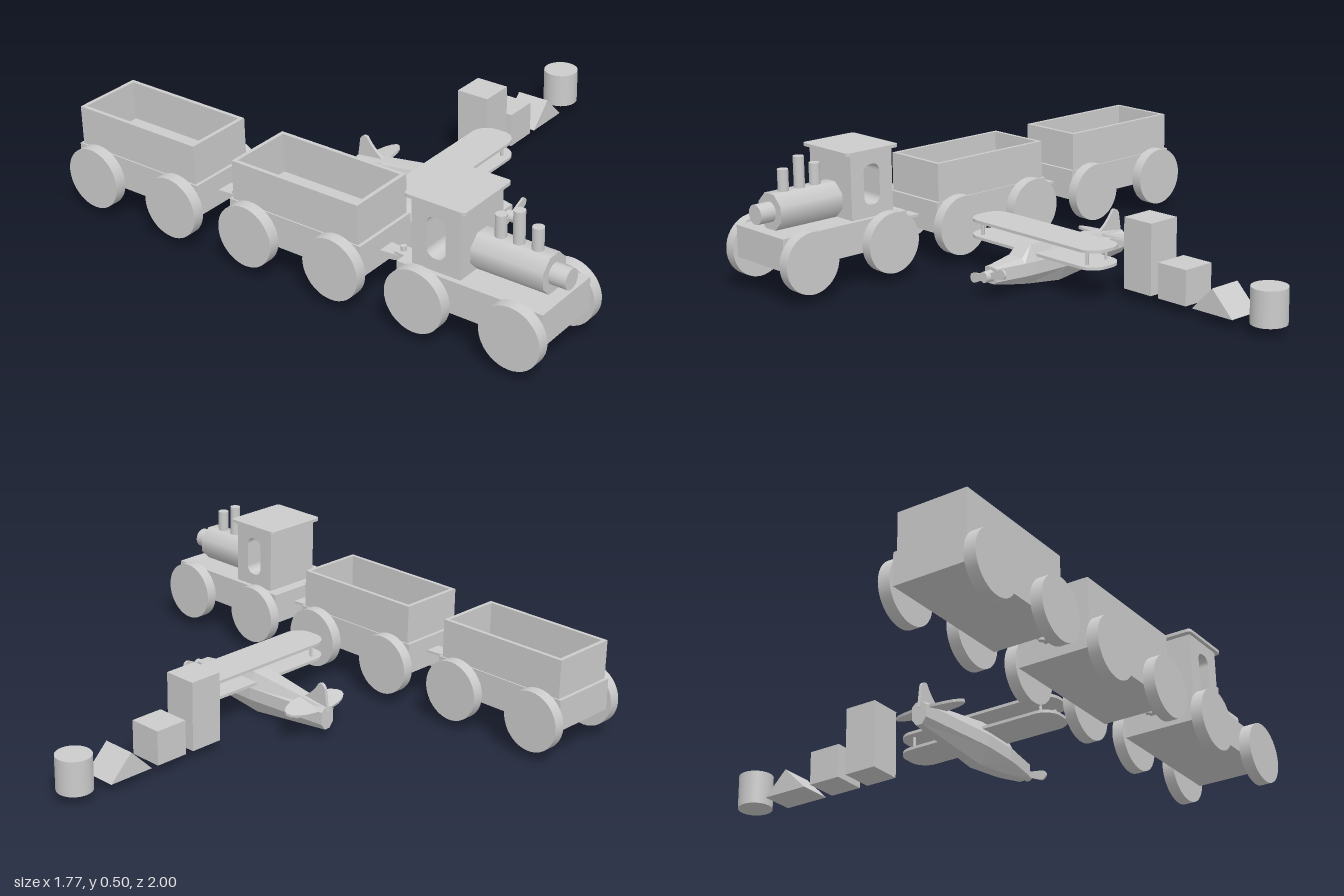
import * as THREE from 'three';

const grey = new THREE.MeshStandardMaterial({ color: 0xcccccc, side: THREE.DoubleSide });

function add(parent, name, geometry, x = 0, y = 0, z = 0) {
  const mesh = new THREE.Mesh(geometry, grey);
  mesh.name = name;
  mesh.position.set(x, y, z);
  parent.add(mesh);
  return mesh;
}

function group(parent, name, x = 0, y = 0, z = 0) {
  const g = new THREE.Group();
  g.name = name;
  g.position.set(x, y, z);
  parent.add(g);
  return g;
}

const box = (w, h, d) => new THREE.BoxGeometry(w, h, d);
const extrude = (shape, depth) =>
  new THREE.ExtrudeGeometry(shape, { depth, bevelEnabled: false, curveSegments: 10 });

// Centred rectangle with rounded corners
function roundedRect(w, h, r, path = new THREE.Shape()) {
  const x = w / 2, y = h / 2;
  path.absarc(x - r, y - r, r, 0, Math.PI / 2);
  path.absarc(r - x, y - r, r, Math.PI / 2, Math.PI);
  path.absarc(r - x, r - y, r, Math.PI, Math.PI * 1.5);
  path.absarc(x - r, r - y, r, Math.PI * 1.5, Math.PI * 2);
  path.closePath();
  return path;
}

function rect(w, h, Type = THREE.Shape) {
  const s = new Type();
  s.moveTo(-w / 2, -h / 2);
  s.lineTo(w / 2, -h / 2);
  s.lineTo(w / 2, h / 2);
  s.lineTo(-w / 2, h / 2);
  s.closePath();
  return s;
}

// Chassis slab with four wheels, shared by locomotive and wagons
function addChassis(parent) {
  add(parent, 'chassis', box(0.276, 0.12, 0.555), 0, 0.187, 0);
  const wheel = new THREE.CylinderGeometry(0.114, 0.114, 0.044, 40).rotateZ(Math.PI / 2);
  for (const x of [-0.16, 0.16])
    for (const z of [-0.183, 0.183]) add(parent, 'wheel', wheel, x, 0.15, z);
}

function addLocomotive(parent) {
  const loco = group(parent, 'locomotive', 0, 0, 0.702);
  addChassis(loco);
  // Cab with a window cut right through from side to side
  const side = rect(0.188, 0.243);
  side.holes.push(roundedRect(0.072, 0.15, 0.03, new THREE.Path()));
  add(loco, 'cab', extrude(side, 0.238).rotateY(Math.PI / 2), -0.119, 0.368, -0.136);
  add(loco, 'roof', extrude(roundedRect(0.265, 0.235, 0.015), 0.012).rotateX(-Math.PI / 2), 0, 0.489, -0.136);
  // Octagonal boiler and round nose
  const boiler = new THREE.CylinderGeometry(0.071, 0.071, 0.28, 8).rotateY(Math.PI / 8).rotateX(Math.PI / 2);
  add(loco, 'boiler', boiler, 0, 0.312, 0.089);
  add(loco, 'boilerNose', new THREE.CylinderGeometry(0.037, 0.037, 0.07, 16).rotateX(Math.PI / 2), 0, 0.312, 0.257);
  // Funnels
  for (const [z, top] of [[0.167, 0.457], [0.097, 0.493], [0.029, 0.457]]) {
    const h = top - 0.33;
    add(loco, 'funnel', new THREE.CylinderGeometry(0.02, 0.02, h, 20), 0, 0.33 + h / 2, z);
  }
}

function addWagon(parent, z) {
  const wagon = group(parent, 'wagon', 0, 0, z);
  addChassis(wagon);
  const walls = rect(0.265, 0.53);
  walls.holes.push(rect(0.235, 0.5, THREE.Path));
  add(wagon, 'wagonWalls', extrude(walls, 0.146).rotateX(-Math.PI / 2), 0, 0.247, 0);
}

// Two overlapping tapered plates joined by a pin
function addCoupling(parent, z) {
  const coupling = group(parent, 'coupling', 0, 0.185, z);
  const plate = new THREE.Shape();
  plate.moveTo(-0.033, -0.085);
  plate.lineTo(0.033, -0.085);
  plate.lineTo(0.024, 0.02);
  plate.lineTo(-0.024, 0.02);
  plate.closePath();
  const geo = extrude(plate, 0.01).rotateX(-Math.PI / 2);
  add(coupling, 'frontPlate', geo, 0, 0, 0);
  add(coupling, 'rearPlate', geo, 0, -0.01, 0).rotation.y = Math.PI;
  add(coupling, 'couplingPin', new THREE.CylinderGeometry(0.011, 0.011, 0.054, 12));
}

// Faceted hull: each section is z, top half width, top y, side half width, low half width, low y
function fuselageGeometry() {
  const sections = [
    [0.39, 0.018, 0.112, 0.03, 0.016, 0.05],
    [0.27, 0.034, 0.126, 0.05, 0.022, 0.026],
    [0.225, 0.032, 0.168, 0.055, 0.022, 0.019],
    [0.075, 0.034, 0.163, 0.06, 0.022, 0],
    [-0.265, 0.014, 0.122, 0.03, 0.012, 0.036],
  ];
  const pos = [], idx = [], n = 8;
  for (const [z, tw, ty, sw, bw, by] of sections) {
    const ring = [[sw, 0.06], [sw, 0.108], [tw, ty], [-tw, ty], [-sw, 0.108], [-sw, 0.06], [-bw, by], [bw, by]];
    for (const [x, y] of ring) pos.push(x, y, z);
  }
  const last = (sections.length - 1) * n;
  for (let i = 0; i < last; i += n)
    for (let j = 0; j < n; j++) {
      const k = (j + 1) % n;
      idx.push(i + j, i + n + j, i + n + k, i + j, i + n + k, i + k);
    }
  for (let j = 1; j < n - 1; j++) idx.push(0, j, j + 1, last, last + j + 1, last + j);
  const geo = new THREE.BufferGeometry();
  geo.setAttribute('position', new THREE.Float32BufferAttribute(pos, 3));
  geo.setIndex(idx);
  const flat = geo.toNonIndexed();
  flat.computeVertexNormals();
  return flat;
}

function addBiplane(parent) {
  const plane = group(parent, 'biplane', -0.144, 0, 0);
  add(plane, 'fuselage', fuselageGeometry());
  // Wings and struts
  const wing = extrude(roundedRect(0.67, 0.16, 0.065), 0.011).rotateX(-Math.PI / 2);
  add(plane, 'upperWing', wing, 0, 0.185, 0.132);
  add(plane, 'lowerWing', wing, 0, 0.123, 0.132);
  for (const x of [-0.274, 0.274])
    for (const z of [0.085, 0.18])
      add(plane, 'strut', new THREE.CylinderGeometry(0.006, 0.006, 0.06, 10), x, 0.159, z);
  // Tail
  const oval = new THREE.Shape();
  oval.absellipse(0, 0, 0.143, 0.055, 0, Math.PI * 2);
  const tail = extrude(oval, 0.01).rotateX(-Math.PI / 2);
  add(plane, 'tailplane', tail, 0, 0.111, -0.197).rotation.x = -0.22;
  const fin = new THREE.Shape();
  fin.moveTo(0.13, 0.12);
  fin.quadraticCurveTo(0.19, 0.15, 0.225, 0.205);
  fin.quadraticCurveTo(0.245, 0.212, 0.255, 0.19);
  fin.lineTo(0.268, 0.1);
  fin.closePath();
  add(plane, 'tailFin', extrude(fin, 0.012).rotateY(Math.PI / 2), -0.006, 0, 0);
  // Propeller
  const prop = group(plane, 'propeller', 0, 0.08, 0.403);
  add(prop, 'propellerHub', new THREE.CylinderGeometry(0.02, 0.022, 0.045, 16).rotateX(Math.PI / 2));
  const blade = new THREE.Shape();
  blade.moveTo(0, -0.008);
  blade.lineTo(0.075, -0.018);
  blade.absarc(0.077, 0, 0.018, -Math.PI / 2, Math.PI / 2);
  blade.lineTo(0, 0.008);
  blade.closePath();
  for (const turn of [0, Math.PI])
    add(prop, 'propellerBlade', extrude(blade, 0.008), 0, 0, -0.004).rotation.z = 0.28 + turn;
}

function addBlocks(parent) {
  const blocks = group(parent, 'toyBlocks', 0, 0.036, 0);
  add(blocks, 'tallBlock', box(0.131, 0.264, 0.131), 0.266, 0.132, 0);
  add(blocks, 'cubeBlock', box(0.131, 0.131, 0.131), 0.431, 0.0655, 0);
  const wedge = new THREE.Shape();
  wedge.moveTo(-0.092, 0);
  wedge.lineTo(0.092, 0);
  wedge.lineTo(0, 0.092);
  wedge.closePath();
  add(blocks, 'wedgeBlock', extrude(wedge, 0.131), 0.617, 0, -0.0655);
  add(blocks, 'cylinderBlock', new THREE.CylinderGeometry(0.066, 0.066, 0.131, 32), 0.816, 0.0655, 0);
}

export function createModel() {
  const model = new THREE.Group();
  model.name = 'toySet';
  const train = group(model, 'train', -0.702, 0, 0);
  addLocomotive(train);
  for (const z of [0, -0.702]) addWagon(train, z);
  for (const z of [0.351, -0.351]) addCoupling(train, z);
  addBiplane(model);
  addBlocks(model);
  return model;
}
